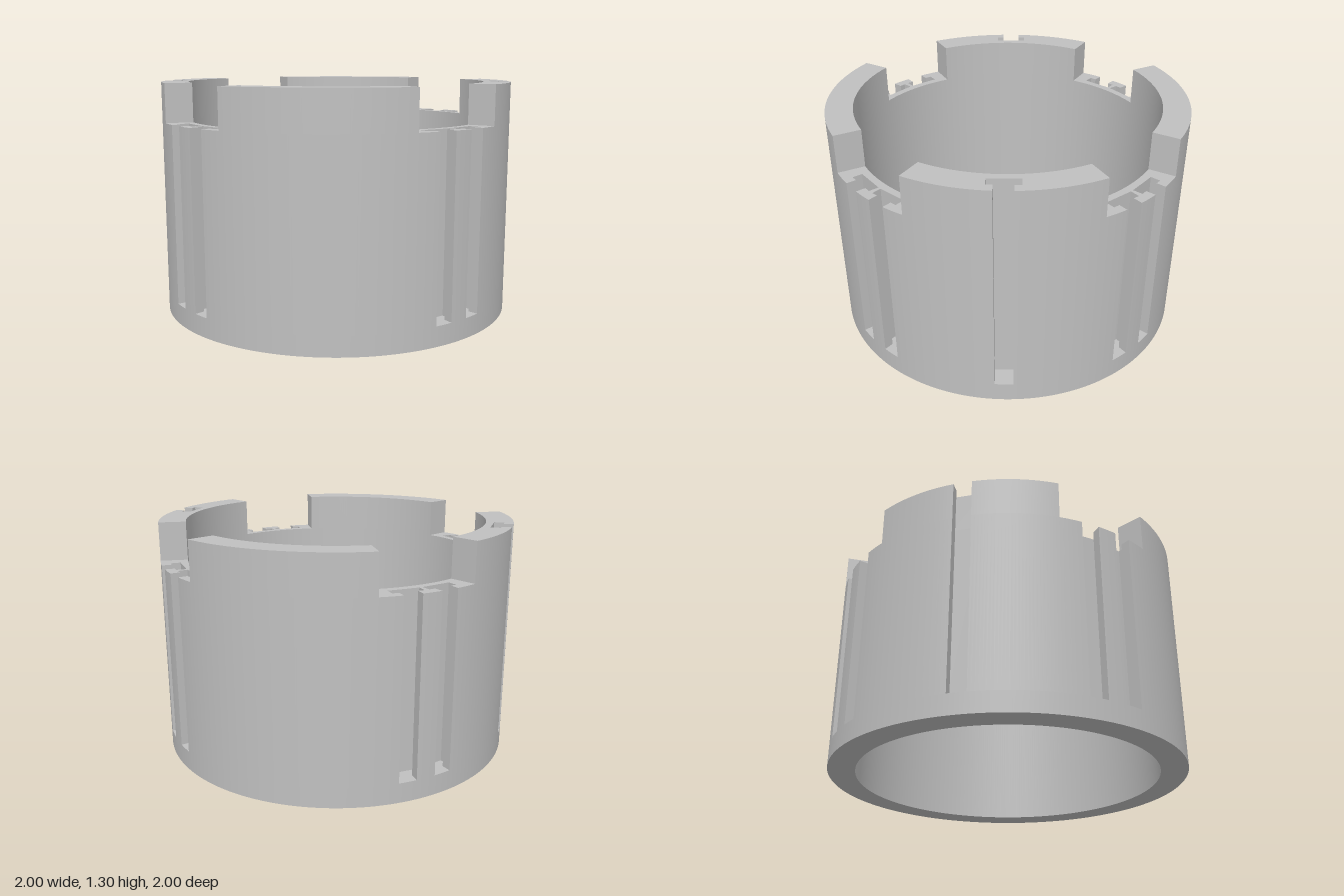
import * as THREE from 'three';
import { mergeGeometries, toCreasedNormals } from 'three/addons/utils/BufferGeometryUtils.js';

const INNER = 0.85, FLOOR = 0.11, SHOULDER = 1.09, TOP = 1.305;
const STEM = 0.05, BAR = 0.085, BAR_OUT = 0.945, BAR_IN = 0.89; // T-slot section
const SLOTS = [0, 39, 51, 129, 141, 180, 219, 231, 309, 321]; // degrees
const HALF = THREE.MathUtils.radToDeg(Math.asin(STEM));

const polar = (r, deg) => {
  const a = THREE.MathUtils.degToRad(deg);
  return new THREE.Vector2(r * Math.cos(a), r * Math.sin(a));
};

// the six inner corners of a T-slot, in order of rising angle
function slotCorners(deg) {
  const a = THREE.MathUtils.degToRad(deg);
  return [[BAR_OUT, -STEM], [BAR_OUT, -BAR], [BAR_IN, -BAR], [BAR_IN, BAR], [BAR_OUT, BAR], [BAR_OUT, STEM]]
    .map(([r, t]) => new THREE.Vector2(r, t).rotateAround(new THREE.Vector2(), a));
}

// arc in one degree steps; at slots on the rim it either dips into the slot or runs past it
function rim(from, to, cut) {
  const points = [];
  for (let d = from; d <= to; d++) {
    const slot = SLOTS.find((s) => Math.abs(s - d) < HALF);
    if (slot === undefined) { points.push(polar(1, d)); continue; }
    const first = d === Math.ceil(slot - HALF), last = d === Math.floor(slot + HALF);
    if (first) points.push(polar(1, slot - HALF));
    if (cut && first) points.push(...slotCorners(slot));
    if (!cut) points.push(polar(1, d));
    if (last) points.push(polar(1, slot + HALF));
  }
  return points;
}

function innerArc(from, to) {
  const points = [];
  for (let d = to; d >= from; d--) points.push(polar(INNER, d));
  return points;
}

const sector = (from, to) => [...rim(from, to, true), ...innerArc(from, to)];

// upright wall along a closed contour
function wall(points, y0, y1) {
  const pos = [];
  points.forEach((p, i) => {
    const q = points[(i + 1) % points.length];
    pos.push(p.x, y0, -p.y, q.x, y0, -q.y, q.x, y1, -q.y);
    pos.push(p.x, y0, -p.y, q.x, y1, -q.y, p.x, y1, -p.y);
  });
  return new THREE.BufferGeometry().setAttribute('position', new THREE.Float32BufferAttribute(pos, 3));
}

// flat face at a height, facing up or down
function cap(points, y, hole, down) {
  const shape = new THREE.Shape(points);
  if (hole) shape.holes.push(new THREE.Path(hole));
  const g = new THREE.ShapeGeometry(shape).toNonIndexed();
  g.deleteAttribute('normal');
  g.deleteAttribute('uv');
  return g.rotateX(down ? Math.PI / 2 : -Math.PI / 2).translate(0, y, 0);
}

export function createModel() {
  const grey = new THREE.MeshStandardMaterial({ color: 0xc0c0c0 });
  grey.name = 'grey';

  const fullRim = rim(-29, 330, false);
  const fullInner = innerArc(-29, 330);
  const parts = [
    wall(fullRim, 0, FLOOR),                       // solid foot
    wall(rim(-29, 330, true), FLOOR, SHOULDER),    // slotted body
    wall(fullInner, 0, SHOULDER),                  // bore
    cap(fullRim, 0, fullInner, true),              // underside
  ];

  // slot floors
  for (const s of SLOTS) {
    const edge = [polar(1, s - HALF)];
    for (let d = Math.ceil(s - HALF); d < s + HALF; d++) edge.push(polar(1, d));
    edge.push(polar(1, s + HALF));
    parts.push(cap([...edge, ...slotCorners(s).reverse()], FLOOR));
  }

  // four raised crown segments with a notch after each
  for (let i = 0; i < 4; i++) {
    const start = i * 90 - 29;
    const segment = sector(start, start + 58);
    parts.push(wall(segment, SHOULDER, TOP), cap(segment, TOP));
    parts.push(cap(sector(start + 58, start + 90), SHOULDER));
  }

  const collar = new THREE.Mesh(toCreasedNormals(mergeGeometries(parts), 0.5), grey);
  collar.name = 'slottedCollar';
  const group = new THREE.Group();
  group.name = 'notchedRing';
  group.add(collar);
  return group;
}
